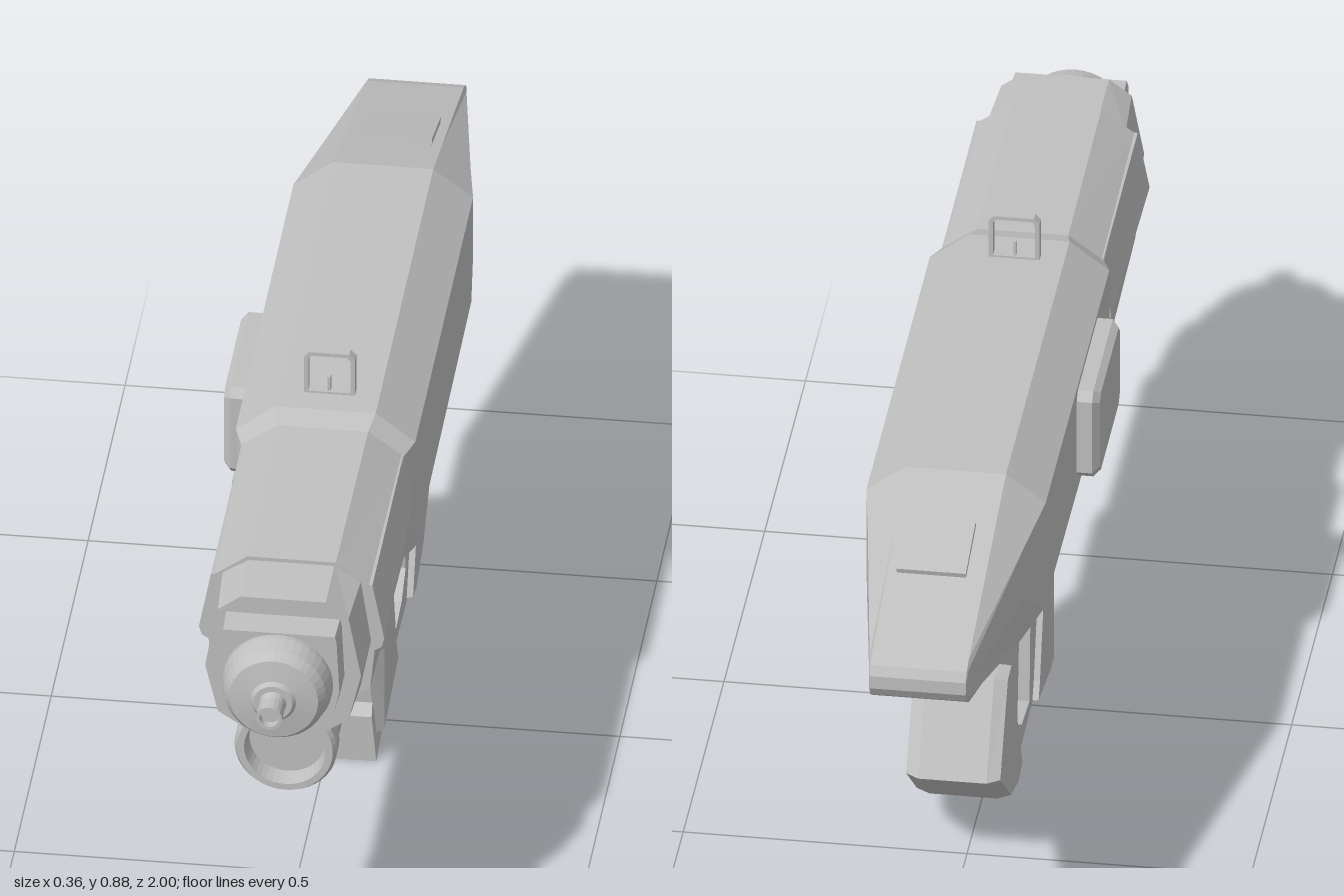
import * as THREE from 'three';

const CX = 0.015; // the body's centre line; the side box makes the model lopsided

export function createModel() {
  const model = new THREE.Group();
  const gray = new THREE.MeshStandardMaterial({ color: 0xc0c0c0 });
  gray.name = 'gray';

  function add(name, geometry, x = 0, y = 0, z = 0) {
    const mesh = new THREE.Mesh(geometry, gray);
    mesh.name = name;
    mesh.position.set(x, y, z);
    model.add(mesh);
    return mesh;
  }

  // Skin a list of rings (equal point counts, convex) and cap both ends
  function loft(rings) {
    const tris = [];
    const n = rings[0].length;
    for (let r = 0; r < rings.length - 1; r++) {
      for (let i = 0; i < n; i++) {
        const j = (i + 1) % n;
        const [a, b, c, d] = [rings[r][i], rings[r][j], rings[r + 1][j], rings[r + 1][i]];
        tris.push([a, b, c], [a, c, d]);
      }
    }
    const last = rings[rings.length - 1];
    for (let i = 1; i < n - 1; i++) {
      tris.push([rings[0][0], rings[0][i + 1], rings[0][i]], [last[0], last[i], last[i + 1]]);
    }
    // Turn the faces outward if the enclosed volume comes out negative
    const v = (p) => new THREE.Vector3(...p);
    const volume = tris.reduce((s, [a, b, c]) => s + v(a).dot(v(b).cross(v(c))), 0);
    if (volume < 0) tris.forEach((t) => t.reverse());
    const geometry = new THREE.BufferGeometry();
    geometry.setAttribute('position', new THREE.Float32BufferAttribute(tris.flat(2), 3));
    geometry.computeVertexNormals();
    return geometry;
  }

  // Ten-sided section across z, from half-widths and heights running top to bottom
  function section(z, widths, heights) {
    const right = widths.map((w, i) => [CX + w, heights[i], z]);
    const left = widths.map((w, i) => [CX - w, heights[i], z]).reverse();
    return [...right, ...left];
  }

  // Plate drawn in the side plane as [z, y] points, extruded across x
  function sidePlate(name, points, half, holes = []) {
    const toVec = ([z, y]) => new THREE.Vector2(-z, y);
    const outline = points.map(toVec);
    if (THREE.ShapeUtils.isClockWise(outline)) outline.reverse();
    const shape = new THREE.Shape(outline);
    holes.forEach((h) => shape.holes.push(new THREE.Path(h.map(toVec))));
    const g = new THREE.ExtrudeGeometry(shape, { depth: half * 2, bevelEnabled: false });
    g.translate(0, 0, -half);
    g.rotateY(Math.PI / 2);
    return add(name, g, CX);
  }

  // Faceted turned part along z, from [radius, z] points running forward
  function lathe(name, points, y, sides) {
    const profile = points.map(([r, z]) => new THREE.Vector2(r, z));
    const g = new THREE.LatheGeometry(profile, sides).toNonIndexed();
    g.rotateX(Math.PI / 2);
    g.computeVertexNormals();
    return add(name, g, CX - 0.002, y, 0);
  }

  // Main body, tapering to a wedge at the rear
  add('mainBody', loft([
    section(0.71, [0.078, 0.14, 0.148, 0.138, 0.085], [0.787, 0.742, 0.63, 0.53, 0.506]),
    section(0.29, [0.08, 0.143, 0.15, 0.142, 0.088], [0.788, 0.742, 0.63, 0.53, 0.503]),
    section(0.25, [0.088, 0.158, 0.158, 0.158, 0.092], [0.801, 0.748, 0.63, 0.53, 0.498]),
    section(-0.53, [0.088, 0.158, 0.158, 0.155, 0.09], [0.805, 0.752, 0.63, 0.535, 0.492]),
    section(-0.65, [0.087, 0.138, 0.14, 0.13, 0.088], [0.774, 0.735, 0.63, 0.54, 0.49]),
    section(-0.965, [0.085, 0.09, 0.09, 0.09, 0.085], [0.693, 0.685, 0.655, 0.62, 0.605]),
    section(-0.99, [0.085, 0.087, 0.087, 0.087, 0.085], [0.682, 0.677, 0.654, 0.632, 0.622]),
    section(-1, [0.084, 0.085, 0.085, 0.085, 0.084], [0.665, 0.662, 0.654, 0.645, 0.64]),
  ]));

  // Flared side guards along the forward body
  for (const s of [-1, 1]) {
    const guard = (z, out) => [[0.13, 0.745], [0.142, 0.745], [out, 0.635], [out - 0.005, 0.618], [0.13, 0.6]]
      .map(([x, y]) => [CX + s * x, y, z]);
    add('sideGuard', loft([guard(0.71, 0.163), guard(0.28, 0.157)]));
  }

  // Stepped nose
  add('noseCollar', loft([
    section(0.70, [0.075, 0.122, 0.14, 0.122, 0.082], [0.78, 0.75, 0.63, 0.535, 0.512]),
    section(0.825, [0.075, 0.115, 0.137, 0.115, 0.08], [0.778, 0.748, 0.63, 0.537, 0.514]),
  ]));
  add('noseBlock', loft([
    section(0.82, [0.1, 0.103, 0.108, 0.1, 0.065], [0.745, 0.735, 0.63, 0.59, 0.538]),
    section(0.88, [0.098, 0.101, 0.106, 0.098, 0.063], [0.743, 0.733, 0.63, 0.592, 0.54]),
  ]));
  lathe('muzzle', [[0, 0.86], [0.097, 0.86], [0.097, 0.89], [0.09, 0.92], [0.078, 0.937],
    [0.04, 0.943], [0.034, 0.95], [0, 0.95]], 0.643, 40);
  lathe('nozzle', [[0, 0.94], [0.026, 0.94], [0.02, 0.965], [0.023, 0.97], [0.023, 1],
    [0.017, 1], [0.017, 0.985], [0, 0.985]], 0.643, 20);

  // Launcher tube under the body, with a shallow dished mouth
  lathe('underTube', [[0, 0.225], [0.081, 0.225], [0.081, 0.45], [0.086, 0.455], [0.086, 0.735],
    [0.09, 0.74], [0.09, 0.775], [0.084, 0.785], [0.072, 0.785], [0.067, 0.75], [0, 0.75]], 0.44, 40);

  // Frame with trigger and hand openings
  sidePlate('frame', [
    [0.23, 0.51], [-0.475, 0.51], [-0.475, 0.425], [-0.43, 0.35], [-0.36, 0.2], [-0.33, 0.055],
    [-0.12, 0.067], [0.05, 0.06], [0.05, 0.2], [0.1, 0.355], [0.16, 0.355], [0.225, 0.395],
  ], 0.072, [
    [[-0.09, 0.48], [-0.225, 0.48], [-0.257, 0.425], [-0.22, 0.37], [-0.09, 0.37]],
    [[-0.09, 0.32], [-0.256, 0.32], [-0.28, 0.135], [-0.225, 0.1], [-0.13, 0.09], [-0.12, 0.24]],
  ]);

  // Trigger
  sidePlate('trigger', [[-0.195, 0.485], [-0.215, 0.485], [-0.215, 0.44], [-0.175, 0.397],
    [-0.16, 0.407], [-0.195, 0.445]], 0.018);

  // Front grip: narrow front face flaring to flat side panels
  const gripRing = ([y, front, frontHalf, side, back, drop]) => [
    [CX - frontHalf, y, front], [CX + frontHalf, y, front],
    [CX + 0.083, y, side], [CX + 0.083, y + drop, back],
    [CX - 0.083, y + drop, back], [CX - 0.083, y, side],
  ];
  add('frontGrip', loft([
    [0.352, 0.16, 0.045, 0.125, 0.005, 0], [0.21, 0.12, 0.055, 0.095, -0.042, 0],
    [0.1, 0.11, 0.064, 0.095, -0.078, 0], [0.042, 0.108, 0.068, 0.095, -0.095, 0.028],
  ].map(gripRing)));

  // Grip base, widening to the bottom
  const baseRing = ([yFront, front, half, yBack, back]) => [
    [CX - half, yFront, front], [CX + half, yFront, front],
    [CX + half, yBack, back], [CX - half, yBack, back],
  ];
  add('gripBase', loft([
    [0.108, 0.108, 0.064, 0.108, 0], [0.092, 0.135, 0.066, 0.092, 0], [0, 0.133, 0.074, 0.026, -0.005],
  ].map(baseRing)));

  // Rear grip block with chamfered back edges
  const rearFull = [[-0.43, 0.352], [-0.48, 0.352], [-0.577, 0.195], [-0.44, 0.08], [-0.34, 0.05], [-0.29, 0.062]];
  const rearInset = [[-0.428, 0.348], [-0.472, 0.346], [-0.565, 0.197], [-0.434, 0.086], [-0.34, 0.056], [-0.295, 0.066]];
  const across = (pts, x) => pts.map(([z, y]) => [CX + x, y, z]);
  add('rearGrip', loft([
    across(rearInset, -0.083), across(rearFull, -0.06), across(rearFull, 0.06), across(rearInset, 0.083),
  ]));

  // Sling loop behind the tube
  sidePlate('slingLoop', [[0.335, 0.375], [0.335, 0.335], [0.315, 0.308], [0.245, 0.308], [0.225, 0.33], [0.225, 0.375]],
    0.012, [[[0.325, 0.365], [0.325, 0.338], [0.31, 0.319], [0.25, 0.319], [0.235, 0.335], [0.235, 0.365]]]);
  sidePlate('slingCatch', [[0.29, 0.365], [0.275, 0.365], [0.262, 0.325], [0.277, 0.325]], 0.008);

  // Sight frame and pin
  const sight = new THREE.Shape([[-0.045, -0.01], [0.045, -0.01], [0.045, 0.075], [0.035, 0.085],
    [-0.035, 0.085], [-0.045, 0.075]].map((p) => new THREE.Vector2(...p)));
  sight.holes.push(new THREE.Path([[-0.037, 0.005], [0.037, 0.005], [0.037, 0.072], [0.031, 0.078],
    [-0.031, 0.078], [-0.037, 0.072]].map((p) => new THREE.Vector2(...p))));
  add('sightFrame', new THREE.ExtrudeGeometry(sight, { depth: 0.018, bevelEnabled: false }), CX, 0.8, 0.181);
  add('sightPin', new THREE.BoxGeometry(0.005, 0.04, 0.01), CX - 0.001, 0.813, 0.19);

  // Raised plate on the sloping rear top
  const hatch = add('rearHatch', new THREE.BoxGeometry(0.122, 0.02, 0.125), CX + 0.008, 0.757, -0.716);
  hatch.rotation.x = -0.26;

  // Chamfered box on the right side, with a small tab
  const sideBox = (x, inset) => [[0.12, 0.725], [0.105, 0.74], [-0.135, 0.74], [-0.15, 0.725],
    [-0.15, 0.58], [-0.135, 0.565], [0.105, 0.565], [0.12, 0.58]].map(([z, y]) =>
    [x, 0.652 + (y - 0.652) * (1 - inset), -0.015 + (z + 0.015) * (1 - inset)]);
  add('sideBox', loft([sideBox(-0.135, 0), sideBox(-0.17, 0), sideBox(-0.182, 0.1)]));
  add('sideBoxTab', new THREE.BoxGeometry(0.025, 0.016, 0.05), -0.152, 0.556, 0.11);

  return model;
}
